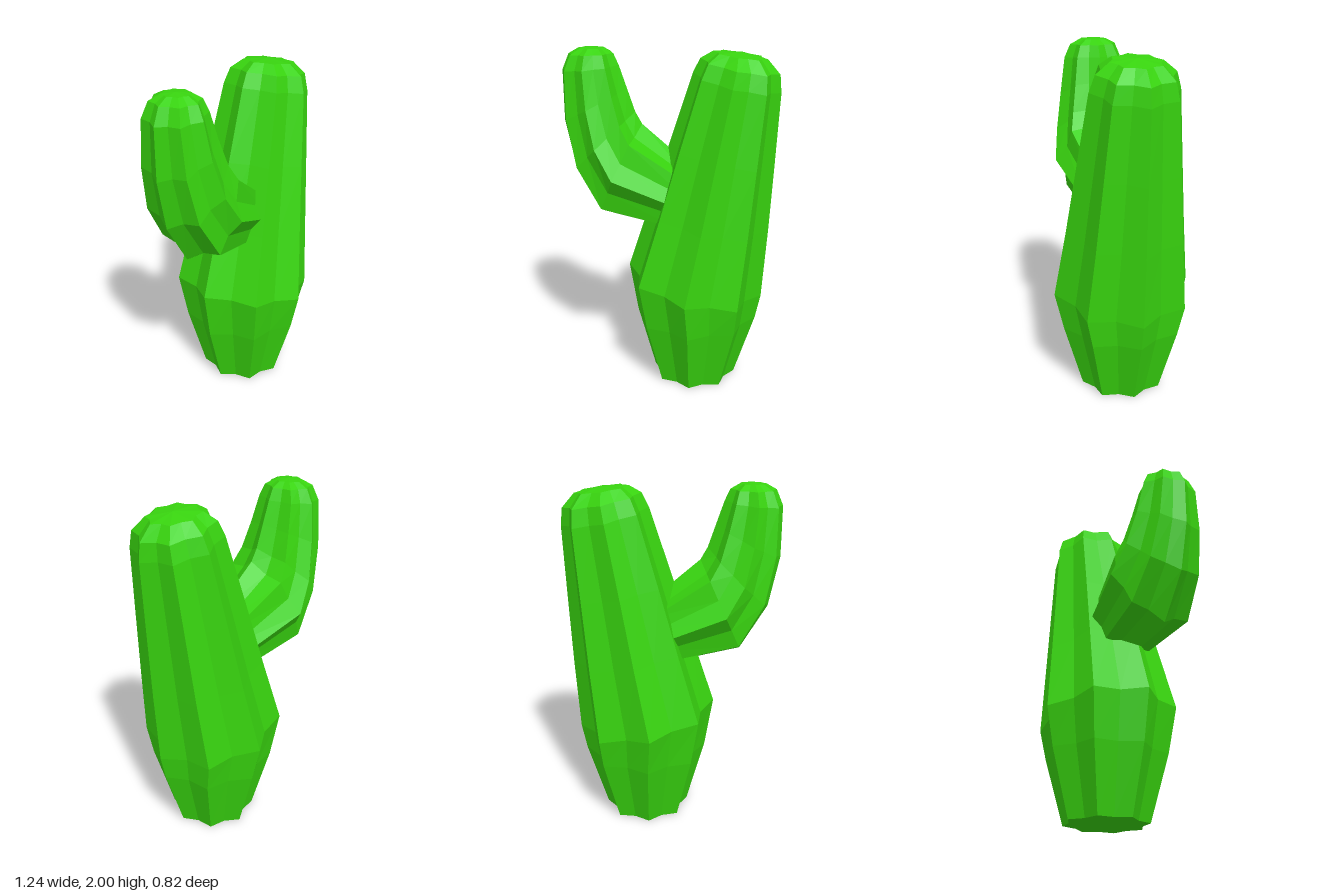
import * as THREE from 'three';

const RIBS = 8;
const VALLEY = 0.84; // groove radius relative to the ridge radius

// Each ring is [x1, y1, x2, y2, depth]: its two ends in the xy plane and its half depth in z.
// Rings run from the base to the tip and are skinned with a ribbed star section.
function ribbedStem(rings, tip) {
  const n = RIBS * 2;
  const pos = [];
  const index = [];
  for (const [x1, y1, x2, y2, depth] of rings) {
    for (let j = 0; j < n; j++) {
      const a = (j / n) * Math.PI * 2;
      const k = j % 2 ? VALLEY : 1;
      const c = Math.cos(a) * k;
      pos.push(
        (x1 + x2) / 2 + ((x2 - x1) / 2) * c,
        (y1 + y2) / 2 + ((y2 - y1) / 2) * c,
        Math.sin(a) * k * depth
      );
    }
  }
  const last = (rings.length - 1) * n;
  const baseCentre = rings.length * n;
  const tipCentre = baseCentre + 1;
  const [bx1, by1, bx2, by2] = rings[0];
  pos.push((bx1 + bx2) / 2, (by1 + by2) / 2, 0, tip[0], tip[1], 0);

  for (let j = 0; j < n; j++) {
    const k = (j + 1) % n;
    for (let i = 0; i < last; i += n) {
      index.push(i + j, i + n + j, i + k, i + k, i + n + j, i + n + k);
    }
    index.push(baseCentre, j, k); // base cap
    index.push(last + j, tipCentre, last + k); // tip cap
  }
  const geometry = new THREE.BufferGeometry();
  geometry.setAttribute('position', new THREE.Float32BufferAttribute(pos, 3));
  geometry.setIndex(index);
  const flat = geometry.toNonIndexed();
  flat.computeVertexNormals();
  return flat;
}

export function createModel() {
  const group = new THREE.Group();
  group.name = 'cactus';
  const green = new THREE.MeshStandardMaterial({ color: 0x38d40f, flatShading: true });

  const add = (name, rings, tip) => {
    const mesh = new THREE.Mesh(ribbedStem(rings, tip), green);
    mesh.name = name;
    group.add(mesh);
  };

  // Leaning trunk: widest a third of the way up, domed on top
  add('trunk', [
    [-0.09, 0, 0.41, 0, 0.25],
    [-0.2, 0.39, 0.53, 0.39, 0.36],
    [-0.25, 0.69, 0.56, 0.54, 0.41],
    [-0.12, 1.09, 0.585, 0.96, 0.352],
    [0.0, 1.47, 0.603, 1.36, 0.302],
    [0.13, 1.87, 0.62, 1.77, 0.25],
    [0.17, 1.95, 0.61, 1.87, 0.22],
    [0.24, 1.99, 0.54, 1.95, 0.145],
  ], [0.395, 1.985]);

  // Side arm: leaves the trunk sideways and bends upwards
  add('arm', [
    [0.05, 0.94, 0.13, 1.33, 0.2],
    [-0.4, 1.03, -0.16, 1.57, 0.285],
    [-0.56, 1.29, -0.2, 1.64, 0.25],
    [-0.62, 1.58, -0.245, 1.77, 0.21],
    [-0.62, 1.87, -0.29, 1.9, 0.175],
    [-0.58, 1.96, -0.32, 1.965, 0.14],
    [-0.52, 1.993, -0.37, 1.993, 0.08],
  ], [-0.45, 2.0]);

  return group;
}
